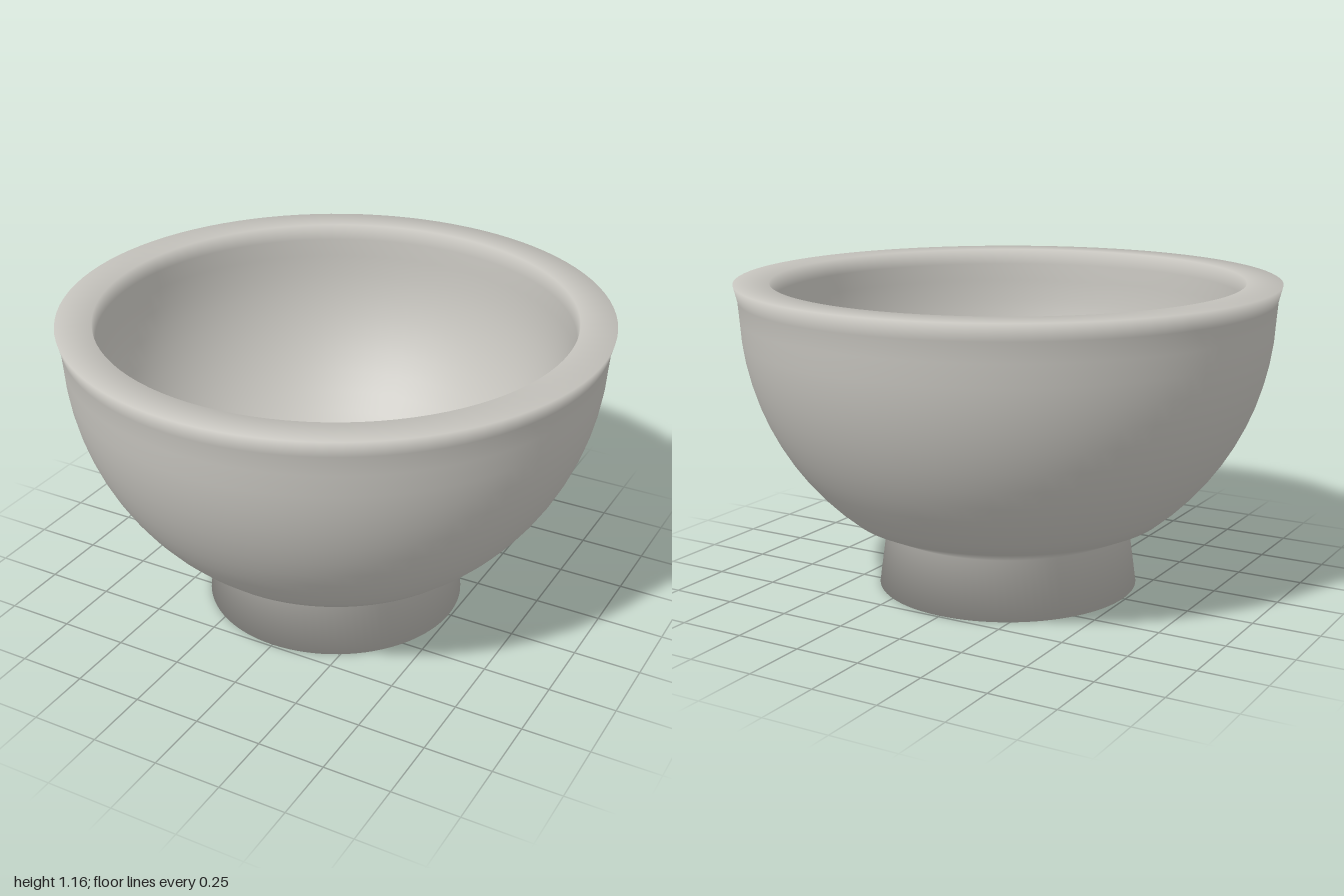
import * as THREE from 'three';

// Points on a circular bowl wall, from height y0 to y1
function wall(radius, centreY, y0, y1, steps) {
  const points = [];
  for (let i = 0; i <= steps; i++) {
    const a0 = Math.acos((centreY - y0) / radius);
    const a1 = Math.acos((centreY - y1) / radius);
    const a = a0 + (a1 - a0) * i / steps;
    points.push(new THREE.Vector2(radius * Math.sin(a), centreY - radius * Math.cos(a)));
  }
  return points;
}

export function createModel() {
  const group = new THREE.Group();
  group.name = 'footedBowl';
  const clay = new THREE.MeshStandardMaterial({ color: 0xc6c4be });
  clay.name = 'paleGreyClay';
  const v = (x, y) => new THREE.Vector2(x, y);

  // One soft-shaded shell: base, foot, outer wall, lip, inner wall, well
  const profile = [
    v(0, 0), v(0.49, 0), v(0.46, 0.22),
    ...wall(0.98, 1.06, 0.285, 1.03, 11),
    v(0.985, 1.1), v(1, 1.16),
    v(0.87, 1.16), v(0.862, 1.1),
    ...wall(0.86, 1.06, 0.3, 1.03, 11).reverse(),
    v(0.34, 0.26), v(0.36, 0.12), v(0, 0.12),
  ];
  const bowl = new THREE.Mesh(new THREE.LatheGeometry(profile, 96), clay);
  bowl.name = 'bowl';
  group.add(bowl);
  return group;
}
